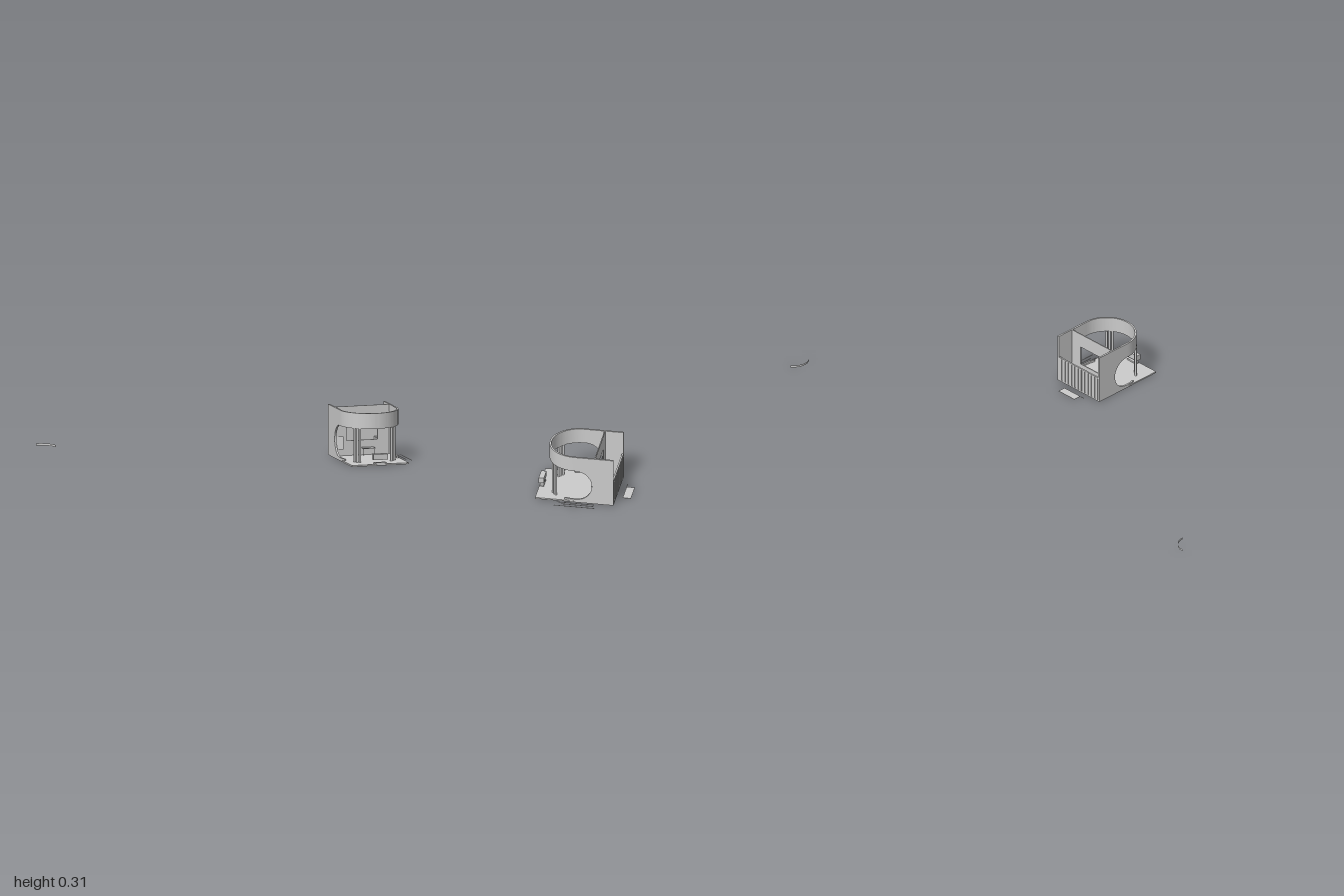
import * as THREE from 'three';
import { toCreasedNormals } from 'three/addons/utils/BufferGeometryUtils.js';

const CX = 0.76, CZ = 0.425, R = 0.18, T = 0.011, TOP = 0.31, SPRING = 0.215;

export function createModel() {
  const model = new THREE.Group();
  const grey = new THREE.MeshStandardMaterial({ color: 0xcccccc, side: THREE.DoubleSide });

  const add = (name, geometry, x = 0, y = 0, z = 0) => {
    const mesh = new THREE.Mesh(geometry, grey);
    mesh.name = name;
    mesh.position.set(x, y, z);
    model.add(mesh);
    return mesh;
  };
  // Box given by its limits on each axis
  const box = (name, x0, x1, y0, y1, z0, z1) =>
    add(name, new THREE.BoxGeometry(x1 - x0, y1 - y0, z1 - z0), (x0 + x1) / 2, (y0 + y1) / 2, (z0 + z1) / 2);
  // Upright curved wall between two plan angles (PI..2PI is the front half)
  const ringWall = (name, a0, a1, y0, y1) => {
    const s = new THREE.Shape();
    s.absarc(0, 0, R, a0, a1, false);
    s.absarc(0, 0, R - T, a1, a0, true);
    const g = new THREE.ExtrudeGeometry(s, { depth: y1 - y0, bevelEnabled: false, curveSegments: 32 });
    g.rotateX(-Math.PI / 2);
    add(name, toCreasedNormals(g, 0.5), CX, y0, CZ);
  };

  box('floor', 0.58, 0.94, 0, 0.009, 0.185, 0.665);

  // Side walls with a round-ended opening towards the front
  const side = new THREE.Shape();
  side.moveTo(0.185, 0);
  side.lineTo(CZ, 0);
  side.lineTo(CZ, 0.02);
  side.lineTo(0.415, 0.02);
  side.absarc(0.415, 0.1175, 0.0975, -Math.PI / 2, Math.PI / 2, true);
  side.lineTo(CZ, SPRING);
  side.lineTo(CZ, TOP);
  side.lineTo(0.185, TOP);
  side.closePath();
  const sideGeometry = new THREE.ExtrudeGeometry(side, { depth: T, bevelEnabled: false, curveSegments: 32 });
  sideGeometry.rotateY(-Math.PI / 2);
  add('leftWall', sideGeometry, 0.94);
  add('rightWall', sideGeometry, 0.58 + T);

  // Curved upper band and the low sills under the openings
  ringWall('curvedBand', Math.PI, 2 * Math.PI, SPRING, TOP);
  ringWall('leftSill', 2 * Math.PI - 0.34, 2 * Math.PI, 0, 0.02);
  ringWall('rightSill', Math.PI, Math.PI + 0.34, 0, 0.02);

  // Clusters of slim posts under the band
  const post = new THREE.CylinderGeometry(0.007, 0.007, SPRING - 0.009, 16);
  for (const s of [-1, 1]) {
    for (const a of [0.6, 0.7, 0.8]) {
      add('post', post, CX + s * Math.sin(a) * (R - T / 2), (SPRING + 0.009) / 2, CZ + Math.cos(a) * (R - T / 2));
    }
  }

  // Inner back wall with a window
  const back = new THREE.Shape();
  back.moveTo(0.59, 0.009);
  back.lineTo(0.93, 0.009);
  back.lineTo(0.93, TOP);
  back.lineTo(0.59, TOP);
  back.closePath();
  const win = new THREE.Path();
  win.moveTo(0.66, 0.1);
  win.lineTo(0.66, 0.22);
  win.lineTo(0.855, 0.22);
  win.lineTo(0.855, 0.1);
  win.closePath();
  back.holes.push(win);
  add('backWall', new THREE.ExtrudeGeometry(back, { depth: 0.006, bevelEnabled: false }), 0, 0, 0.297);
  const leaf = box('openLeaf', 0.591, 0.636, 0.05, 0.13, 0.313, 0.316);
  leaf.rotation.y = -0.5;

  // Boarded fence closing the rear strip
  box('fencePanel', 0.59, 0.93, 0.009, 0.16, 0.19, 0.194);
  box('fenceRail', 0.59, 0.93, 0.158, 0.165, 0.185, 0.195);
  const boards = 12, pitch = 0.34 / boards;
  for (let i = 0; i < boards; i++) {
    const x = 0.59 + i * pitch;
    box('fenceBoard', x + 0.004, x + pitch - 0.004, 0.009, 0.158, 0.185, 0.19);
  }
  box('rearCabinet', 0.868, 0.929, 0.009, 0.1, 0.195, 0.23);

  // Table against the back wall
  box('tableTop', 0.755, 0.83, 0.05, 0.055, 0.303, 0.342);
  for (const x of [0.757, 0.825]) {
    for (const z of [0.306, 0.337]) box('tableLeg', x, x + 0.003, 0.009, 0.05, z, z + 0.003);
  }

  // Front box and the low step beneath it
  box('frontBox', 0.717, 0.807, 0.035, 0.07, 0.635, 0.667);
  box('frontStep', 0.725, 0.8, 0.009, 0.018, 0.637, 0.662);

  // Flat pieces on the ground around the building
  box('rearSlab', 0.705, 0.84, 0, 0.002, 0.096, 0.146);
  box('rearStrip', 0.672, 0.705, 0, 0.002, 0.145, 0.148);
  for (const [x, z0, z1] of [[0.955, 0.3, 0.53], [0.974, 0.3, 0.5], [0.997, 0.29, 0.54]]) {
    box('groundStrip', x - 0.003, x + 0.003, 0, 0.001, z0, z1);
  }

  // Distant low curved edging
  add('curvedEdging', new THREE.CylinderGeometry(0.096, 0.096, 0.013, 24, 1, true, Math.PI / 2, Math.PI / 2),
    -1, 0.0065, -0.57);

  return model;
}
